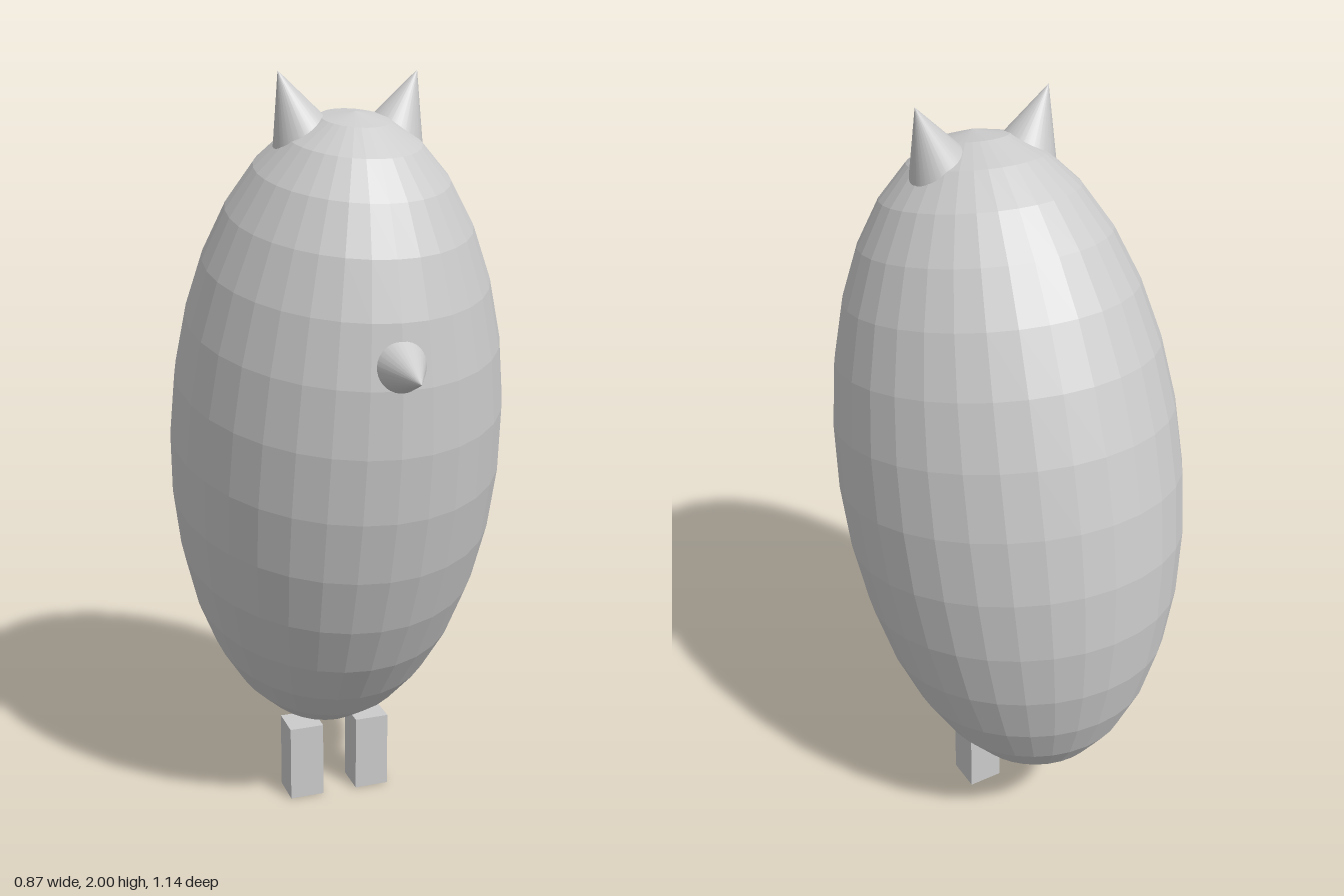
import * as THREE from 'three';

export function createModel() {
  const model = new THREE.Group();
  const facetMat = new THREE.MeshStandardMaterial({ color: 0xcccccc, flatShading: true });
  const smoothMat = new THREE.MeshStandardMaterial({ color: 0xcccccc });

  const add = (name, geometry, material) => {
    const mesh = new THREE.Mesh(geometry, material);
    mesh.name = name;
    model.add(mesh);
    return mesh;
  };

  // Cone placed by its tip and the direction it points in; its base is buried in the body
  const addSpike = (name, tip, direction, radius, length) => {
    const geometry = new THREE.ConeGeometry(radius, length, 32);
    geometry.translate(0, -length / 2, 0);
    const spike = add(name, geometry, smoothMat);
    spike.position.copy(tip);
    spike.quaternion.setFromUnitVectors(new THREE.Vector3(0, 1, 0), direction.normalize());
  };

  // Egg-shaped body, leaning forward
  const body = add('body', new THREE.SphereGeometry(1, 32, 16), facetMat);
  body.scale.set(0.435, 0.877, 0.495);
  body.rotation.x = 0.197;
  body.position.set(0, 1.045, -0.056);

  // Beak, pointing slightly down
  addSpike('beak', new THREE.Vector3(0, 1.324, 0.57), new THREE.Vector3(0, -0.09, 1), 0.1, 0.2);

  for (const [side, s] of [['left', 1], ['right', -1]]) {
    // Ear, splayed outward
    addSpike(side + 'Ear', new THREE.Vector3(s * 0.18, 2, 0.064),
      new THREE.Vector3(s * 0.4, 1, 0), 0.095, 0.2);

    // Leg
    const leg = add(side + 'Leg', new THREE.BoxGeometry(0.096, 0.215, 0.096), facetMat);
    leg.position.set(s * 0.097, 0.1075, -0.051);
  }

  return model;
}
